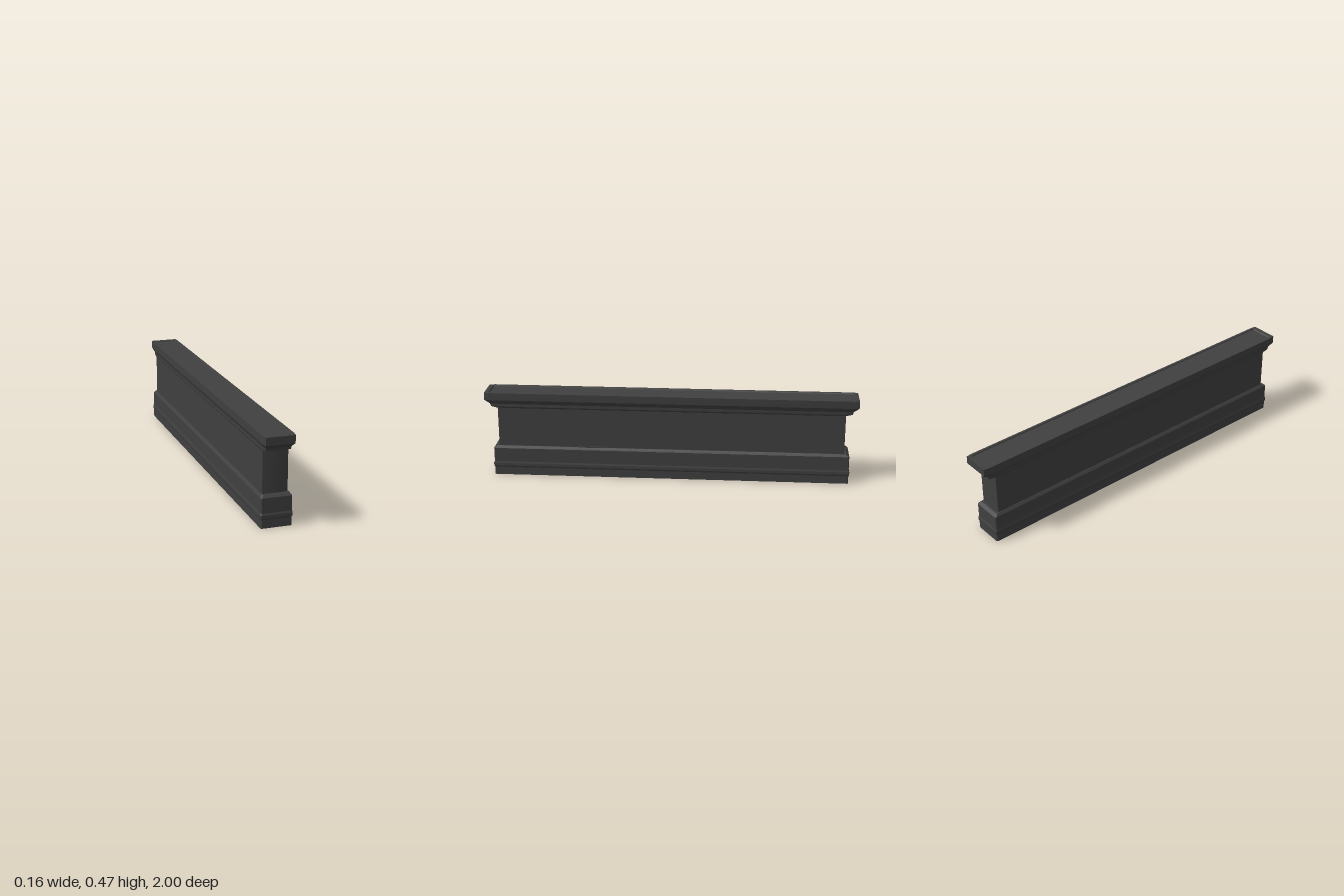
import * as THREE from 'three';
import { toCreasedNormals } from 'three/addons/utils/BufferGeometryUtils.js';

const material = new THREE.MeshStandardMaterial({ color: 0x404040 });

// Rectangle outline with chamfered corners and optionally bowed ends,
// running front, left side, back, right side.
function ring(y, hx, hz, { cx, cz, bow = 0, segs = 1 }) {
  const ex = Math.max(hx - cx, 0), ez = Math.max(hz - cz, 0);
  const half = [];
  for (let i = 0; i <= segs; i++) {
    const t = -1 + (2 * i) / segs;
    half.push([ex * t, hz - Math.min(bow, hz) * t * t]);
  }
  half.push([hx, ez], [hx, -ez]);
  const back = half.slice(0, -2).map(([x, z]) => [-x, -z]);
  return [...half, ...back, [-hx, -ez], [-hx, ez]].map(([x, z]) => [x, y, z]);
}

// Joins a run of [y, halfWidth, halfLength] sections into one skin.
function loft(name, rows, shape, crease = 0.2) {
  const rings = rows.map(([y, hx, hz]) => ring(y, hx, hz, shape));
  const pos = [];
  for (let j = 0; j < rings.length - 1; j++) {
    const lo = rings[j], hi = rings[j + 1], n = lo.length;
    for (let i = 0; i < n; i++) {
      const k = (i + 1) % n;
      if (rows[j][1] > 0) pos.push(...lo[i], ...lo[k], ...hi[k]);
      if (rows[j + 1][1] > 0) pos.push(...lo[i], ...hi[k], ...hi[i]);
    }
  }
  const geo = new THREE.BufferGeometry();
  geo.setAttribute('position', new THREE.Float32BufferAttribute(pos, 3));
  const mesh = new THREE.Mesh(toCreasedNormals(geo, crease), material);
  mesh.name = name;
  return mesh;
}

function block(name, w, h, d, x, y, z) {
  const mesh = new THREE.Mesh(new THREE.BoxGeometry(w, h, d), material);
  mesh.position.set(x, y, z);
  mesh.name = name;
  return mesh;
}

export function createModel() {
  const group = new THREE.Group();
  group.name = 'parapetWall';

  // Plinth: recessed underside, raised band, bevelled shoulder
  group.add(loft('plinth', [
    [0.025, 0, 0], [0.025, 0.07, 0.95], [0, 0.072, 0.952],
    [0, 0.079, 0.96], [0.043, 0.079, 0.96], [0.052, 0.082, 0.964],
    [0.066, 0.082, 0.964], [0.076, 0.079, 0.96], [0.152, 0.079, 0.96],
    [0.165, 0.069, 0.945], [0.165, 0, 0],
  ], { cx: 0.005, cz: 0.005 }));

  // Wall body with softly bowed ends
  group.add(loft('wallBody', [
    [0.15, 0.065, 0.936], [0.4, 0.065, 0.936],
  ], { cx: 0.001, cz: 0.006, bow: 0.005, segs: 10 }, 0.5));

  // Coping: stepped moulding, flare and a shallow sunken top panel
  group.add(loft('coping', [
    [0.379, 0, 0], [0.379, 0.065, 0.938], [0.387, 0.069, 0.966],
    [0.403, 0.069, 0.972], [0.425, 0.078, 1], [0.465, 0.078, 1],
    [0.465, 0.066, 0.978], [0.459, 0.063, 0.974], [0.459, 0, 0],
  ], { cx: 0.005, cz: 0.03 }));

  // Small ledge on the side and two feet set in the underside
  group.add(block('sideLedge', 0.012, 0.012, 0.13, 0.064, 0.164, 0.435));
  for (const z of [-0.46, 0.78])
    group.add(block('underFoot', 0.03, 0.03, 0.13, 0.02, 0.018, z));

  return group;
}
